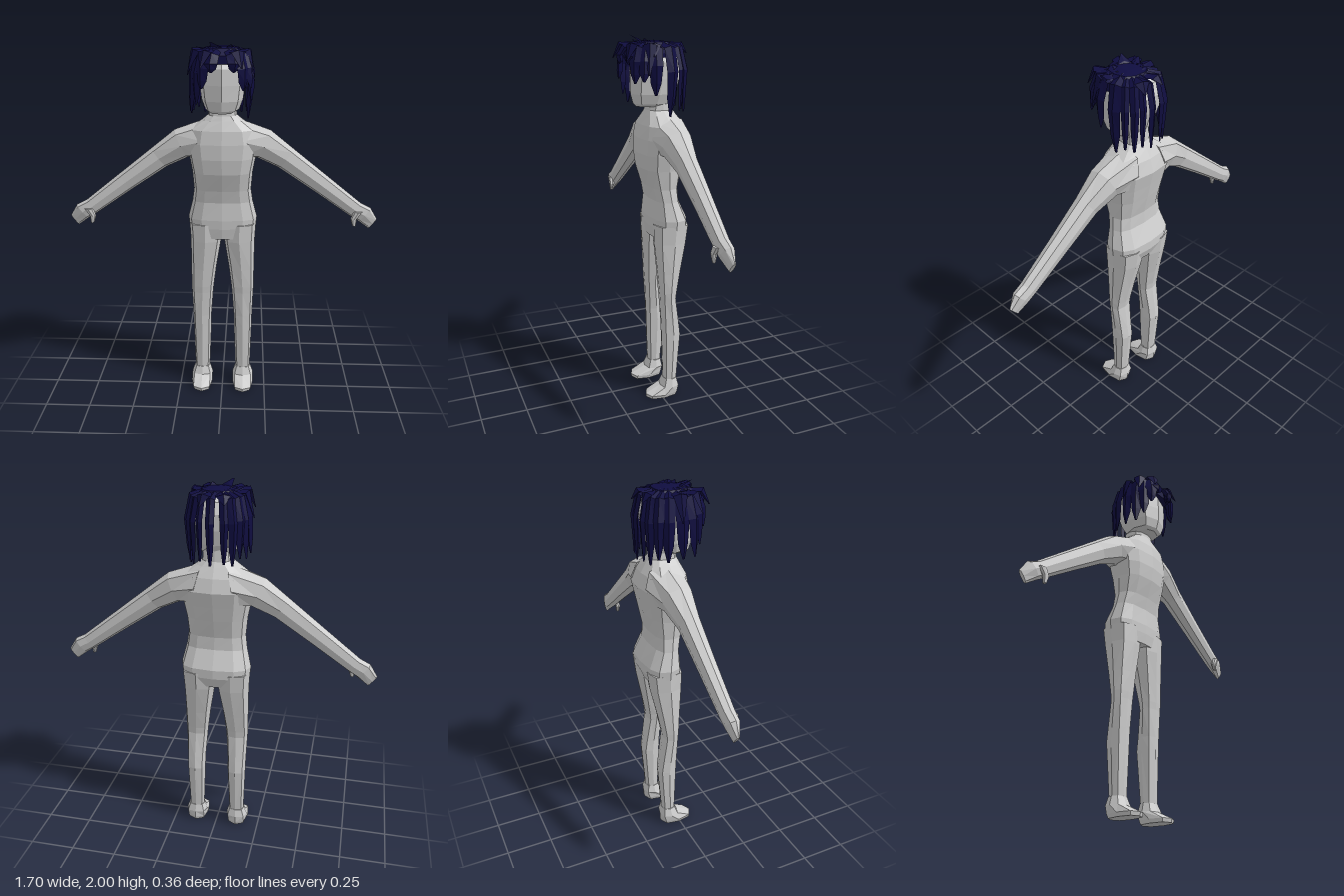
import * as THREE from 'three';

const skin = new THREE.MeshStandardMaterial({ color: 0xcccccc, flatShading: true });
skin.name = 'pale grey';
const navy = new THREE.MeshStandardMaterial({ color: 0x0f0d40, flatShading: true });
navy.name = 'navy hair';

const spow = (v, e) => Math.sign(v) * Math.pow(Math.abs(v), e);

// Closed surface through a list of rings (arrays of Vector3), turned to face outwards
function loft(name, rings, material) {
  const n = rings[0].length, pos = [], tris = [];
  rings.forEach(r => r.forEach(p => pos.push(p.x, p.y, p.z)));
  for (let i = 0; i < rings.length - 1; i++) {
    for (let j = 0; j < n; j++) {
      const a = i * n + j, b = i * n + (j + 1) % n;
      tris.push([a, a + n, b], [b, a + n, b + n]);
    }
  }
  const last = (rings.length - 1) * n;
  for (let j = 1; j < n - 1; j++) tris.push([0, j, j + 1], [last, last + j + 1, last + j]);
  const P = rings.flat();
  const volume = tris.reduce((s, [a, b, c]) => s + P[a].dot(P[b].clone().cross(P[c])), 0);
  if (volume < 0) tris.forEach(t => t.reverse());
  let geo = new THREE.BufferGeometry();
  geo.setAttribute('position', new THREE.Float32BufferAttribute(pos, 3));
  geo.setIndex(tris.flat());
  geo = geo.toNonIndexed();
  geo.computeVertexNormals();
  const mesh = new THREE.Mesh(geo, material);
  mesh.name = name;
  return mesh;
}

// Ring spanned by two half axes around a centre, with rounded-square shape
function ring(c, u, v, sides, e) {
  return Array.from({ length: sides }, (_, k) => {
    const t = k / sides * Math.PI * 2;
    return c.clone().addScaledVector(u, spow(Math.cos(t), e)).addScaledVector(v, spow(Math.sin(t), e));
  });
}

// Level ring from its x and z limits
const levelRing = (y, x0, x1, zf, zb, sides, e = 0.75) => ring(
  new THREE.Vector3((x0 + x1) / 2, y, (zf + zb) / 2),
  new THREE.Vector3((x1 - x0) / 2, 0, 0), new THREE.Vector3(0, 0, (zf - zb) / 2), sides, e);

// Limb ring from an upper and a lower outline point and its z limits
const limbRing = (s, tx, ty, bx, by, zf, zb) => ring(
  new THREE.Vector3(s * (tx + bx) / 2, (ty + by) / 2, (zf + zb) / 2),
  new THREE.Vector3(s * (tx - bx) / 2, (ty - by) / 2, 0), new THREE.Vector3(0, 0, (zf - zb) / 2), 8, 0.85);

// Symmetric stack of rows: y, half width, front z, back z
const stack = (name, rows, sides, material) =>
  loft(name, rows.map(([y, w, zf, zb]) => levelRing(y, -w, w, zf, zb, sides)), material);

// Flat tapered hair lock: path points with half widths, facing direction az
function lock(name, az, path) {
  const side = new THREE.Vector3(Math.cos(az), 0, -Math.sin(az));
  return loft(name, path.map(([x, y, z, w], i) => {
    const n = new THREE.Vector3(Math.sin(az), i < 2 ? 1 : 0.1, Math.cos(az)).normalize();
    return ring(new THREE.Vector3(x, y, z), side.clone().multiplyScalar(w),
      n.multiplyScalar(Math.min(0.016, w * 0.6)), 4, 1);
  }), navy);
}

// Lock hanging from the crown at an angle in degrees
function hangingLock(deg, tipY, width, flare) {
  const az = deg * Math.PI / 180;
  const ex = spow(Math.sin(az), 0.8) * 0.148, ez = spow(Math.cos(az), 0.8) * 0.16;
  const at = (r, y, w) => [ex * r, y, ez * r - 0.002, w];
  const drop = y => 1.92 + (tipY - 1.92) * y;
  return lock('hairLock', az, [
    at(0.35, 1.965, width * 0.6), at(0.88, 1.94, width),
    at(1.03, drop(0.3), width), at((1 + flare) / 2, drop(0.72), width * 0.75),
    at(flare, tipY, 0.006)]);
}

export function createModel() {
  const model = new THREE.Group();
  model.name = 'figure';

  // Torso and neck
  model.add(stack('torso', [
    [0.94, 0.165, 0.02, -0.14], [1.0, 0.185, 0.028, -0.165], [1.05, 0.19, 0.03, -0.165],
    [1.15, 0.165, 0.022, -0.118], [1.22, 0.155, 0.037, -0.115], [1.32, 0.163, 0.07, -0.138],
    [1.4, 0.178, 0.08, -0.155], [1.48, 0.19, 0.078, -0.173], [1.55, 0.175, 0.066, -0.15],
    [1.6, 0.105, 0.045, -0.12], [1.625, 0.075, 0.035, -0.105], [1.7, 0.07, 0.03, -0.1]], 12, skin));

  // Head
  model.add(stack('head', [
    [1.645, 0.06, 0.09, -0.06], [1.66, 0.088, 0.106, -0.09], [1.71, 0.107, 0.12, -0.12],
    [1.79, 0.118, 0.122, -0.145], [1.87, 0.125, 0.118, -0.155],
    [1.925, 0.1, 0.085, -0.135], [1.95, 0.05, 0.03, -0.08]], 8, skin));

  for (const s of [1, -1]) {
    const label = s > 0 ? 'left' : 'right';

    // Arm and mitten hand
    model.add(loft(label + 'Arm', [
      [0.07, 1.605, 0.12, 1.39, 0.06, -0.165], [0.255, 1.54, 0.185, 1.39, 0.033, -0.13],
      [0.38, 1.44, 0.3, 1.338, 0.008, -0.1], [0.56, 1.297, 0.5, 1.205, -0.002, -0.09],
      [0.755, 1.142, 0.7, 1.068, -0.008, -0.08], [0.81, 1.115, 0.745, 1.04, -0.012, -0.078],
      [0.85, 1.05, 0.807, 0.995, -0.038, -0.058]].map(r => limbRing(s, ...r)), skin));

    // Thumb
    model.add(loft(label + 'Thumb', [
      [0.765, 1.1, 0.715, 1.1, 0.004, -0.035], [0.735, 1.06, 0.7, 1.06, 0.004, -0.025],
      [0.73, 1.018, 0.712, 1.022, -0.002, -0.018]].map(r => limbRing(s, ...r)), skin));

    // Leg
    const level = r => levelRing(r[0], s * r[1], s * r[2], r[3], r[4], 8);
    model.add(loft(label + 'Leg', [
      [1.02, 0.002, 0.186, 0.028, -0.163], [0.92, 0.008, 0.18, 0.025, -0.15],
      [0.75, 0.036, 0.178, 0.01, -0.112], [0.64, 0.05, 0.178, 0.002, -0.09],
      [0.6, 0.054, 0.176, -0.002, -0.085], [0.45, 0.065, 0.171, -0.008, -0.108],
      [0.38, 0.066, 0.17, -0.01, -0.118], [0.1, 0.077, 0.162, -0.02, -0.095],
      [0.06, 0.077, 0.162, -0.02, -0.095]].map(level), skin));

    // Foot
    model.add(loft(label + 'Foot', [
      [0.105, 0.074, 0.166, -0.018, -0.097], [0.06, 0.06, 0.182, 0.0, -0.108],
      [0.02, 0.06, 0.183, 0.088, -0.108], [0, 0.066, 0.176, 0.085, -0.1]].map(level), skin));
  }

  // Hair over the crown
  const hair = new THREE.Group();
  hair.name = 'hair';
  model.add(hair);
  hair.add(stack('hairCap', [
    [1.895, 0.135, 0.125, -0.06], [1.935, 0.125, 0.125, -0.1],
    [1.968, 0.085, 0.09, -0.08], [1.975, 0.03, 0.03, -0.03]], 10, navy));

  // Hanging locks: angle from the front, tip height, half width, flare
  [[20, 1.86, 0.035, 1.0], [40, 1.77, 0.036, 1.05], [60, 1.78, 0.036, 1.12],
    [80, 1.71, 0.036, 1.02], [103, 1.6, 0.034, 0.92], [124, 1.63, 0.02, 0.98],
    [143, 1.62, 0.022, 1.0], [160, 1.64, 0.018, 1.0], [178, 1.62, 0.022, 1.0],
    [198, 1.63, 0.022, 1.0], [216, 1.62, 0.026, 1.0], [235, 1.65, 0.03, 1.02],
    [253, 1.64, 0.034, 1.08], [272, 1.65, 0.036, 1.1], [292, 1.65, 0.036, 1.1],
    [310, 1.7, 0.036, 1.05], [327, 1.78, 0.038, 1.08], [345, 1.86, 0.036, 1.02]]
    .forEach(l => hair.add(hangingLock(...l)));

  // Loose tufts: angle, tip x, y, z
  [[-30, -0.055, 2.0, 0.1], [-60, -0.13, 1.975, 0.06], [-25, -0.1, 1.885, 0.178],
    [30, 0.1, 1.88, 0.172], [75, 0.155, 1.9, 0.05], [20, 0.045, 1.985, 0.06],
    [-95, -0.178, 1.83, 0.0], [-50, -0.165, 1.86, 0.11], [65, 0.165, 1.81, 0.08],
    [160, 0.06, 1.91, -0.165], [200, -0.06, 1.92, -0.16]]
    .forEach(([deg, x, y, z]) => {
      const k = y > 1.95 ? 0.5 : 0.8;
      hair.add(lock('hairTuft', deg * Math.PI / 180, [
        [x * 0.3, 1.95, z * 0.3, 0.03], [x * k, Math.max(1.955, y - 0.03), z * k, 0.036], [x, y, z, 0.004]]));
    });

  return model;
}
